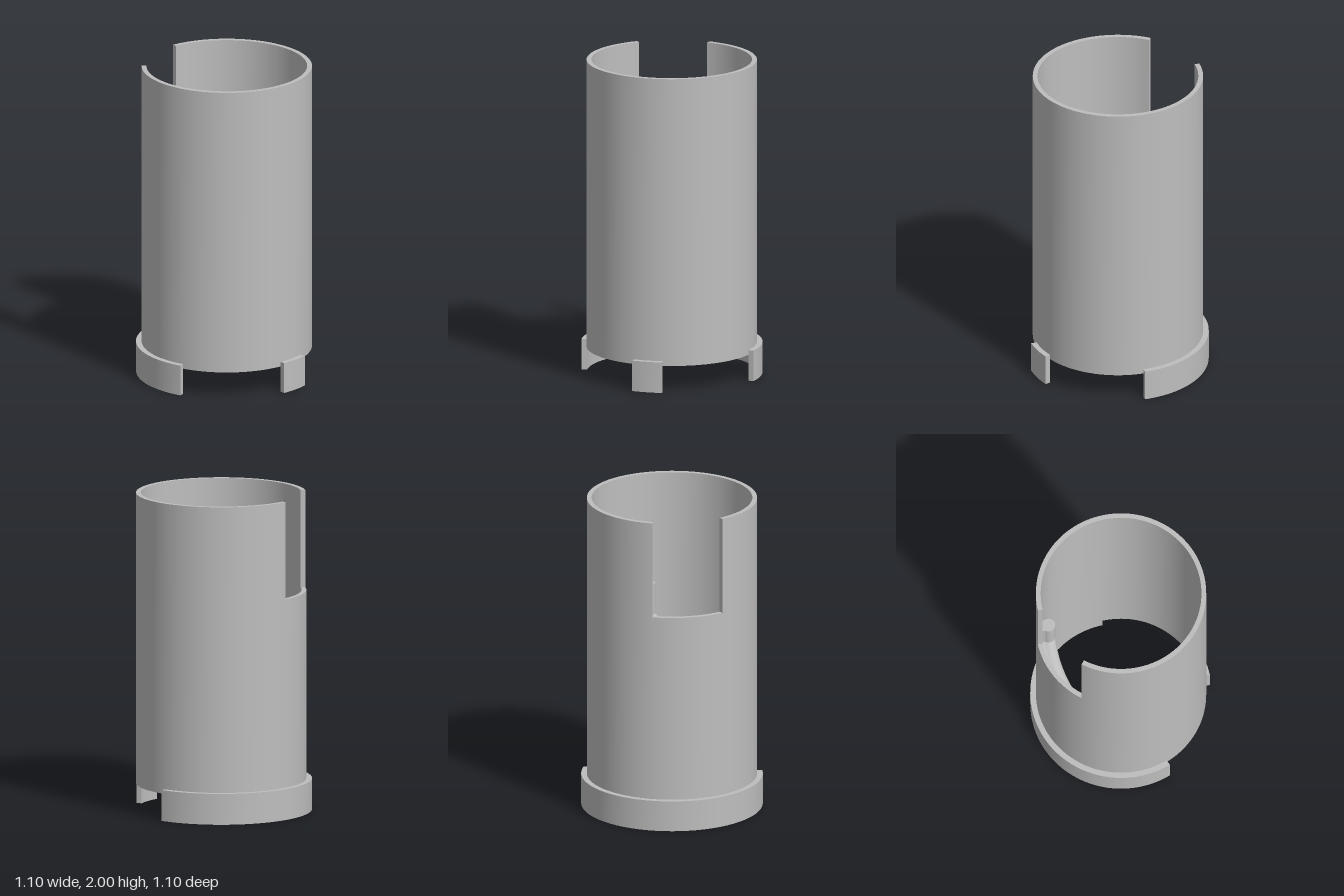
import * as THREE from 'three';
import { toCreasedNormals } from 'three/addons/utils/BufferGeometryUtils.js';

const RAD = Math.PI / 180;

// Smooth the curved walls while keeping edges sharp (enlarged so close vertices stay distinct)
function crease(geometry) {
  geometry.scale(50, 50, 50);
  const out = toCreasedNormals(geometry, 0.5);
  return out.scale(0.02, 0.02, 0.02);
}

// Ring made of sectors { from, to, y0, y1, endY }: angles in degrees from +x towards +z,
// endY is the height where the end walls start (omit for no end walls)
function ringGeometry(r0, r1, sectors) {
  const pos = [];
  const p = (r, a, y) => [r * Math.cos(a * RAD), y, r * Math.sin(a * RAD)];
  const quad = (a, b, c, d) => pos.push(...a, ...b, ...c, ...a, ...c, ...d);
  for (const { from, to, y0, y1, endY } of sectors) {
    const n = Math.round((to - from) / 2.5);
    for (let i = 0; i < n; i++) {
      const a = from + (i * (to - from)) / n;
      const b = from + ((i + 1) * (to - from)) / n;
      quad(p(r1, b, y0), p(r1, a, y0), p(r1, a, y1), p(r1, b, y1));
      quad(p(r0, a, y0), p(r0, b, y0), p(r0, b, y1), p(r0, a, y1));
      quad(p(r0, b, y1), p(r1, b, y1), p(r1, a, y1), p(r0, a, y1));
      quad(p(r0, a, y0), p(r1, a, y0), p(r1, b, y0), p(r0, b, y0));
    }
    if (endY === undefined) continue;
    quad(p(r1, from, endY), p(r0, from, endY), p(r0, from, y1), p(r1, from, y1));
    quad(p(r0, to, endY), p(r1, to, endY), p(r1, to, y1), p(r0, to, y1));
  }
  const g = new THREE.BufferGeometry();
  g.setAttribute('position', new THREE.Float32BufferAttribute(pos, 3));
  return crease(g);
}

// Round rail on a neck, twisting up the inner wall, then running straight up
function railGeometry(y0, bend, y1, a0, a1) {
  const r = 0.042, half = 0.034, centre = 0.455, wall = 0.505;
  const neck = Math.asin(half / r);
  const shape = new THREE.Shape();
  shape.moveTo(wall, -half);
  shape.lineTo(wall, half);
  shape.absarc(centre, 0, r, neck, 2 * Math.PI - neck, false);
  const g = new THREE.ExtrudeGeometry(shape, {
    depth: y1 - y0, steps: 71, bevelEnabled: false, curveSegments: 14,
  });
  const pos = g.attributes.position;
  for (let i = 0; i < pos.count; i++) {
    const u = pos.getX(i), v = pos.getY(i), h = pos.getZ(i);
    const a = (a0 + (a1 - a0) * Math.min(1, h / (bend - y0))) * RAD;
    pos.setXYZ(i, u * Math.cos(a) + v * Math.sin(a), y0 + h, u * Math.sin(a) - v * Math.cos(a));
  }
  return crease(g);
}

export function createModel() {
  const model = new THREE.Group();
  model.name = 'slottedSleeve';
  const grey = new THREE.MeshStandardMaterial({ color: 0xbebebe });
  grey.name = 'grey';

  const add = (name, geometry) => {
    const mesh = new THREE.Mesh(geometry, grey);
    mesh.name = name;
    mesh.position.set(0.0175, 0, 0.0175);
    model.add(mesh);
  };

  // Tube with a rectangular notch cut down from its rim
  add('tube', ringGeometry(0.5, 0.53, [
    { from: 185, to: 235, y0: 0.165, y1: 1.385 },
    { from: 235, to: 545, y0: 0.165, y1: 2, endY: 1.385 },
  ]));

  // Skirt segments around the foot
  add('longSkirt', ringGeometry(0.53, 0.565, [{ from: 125, to: 325, y0: 0, y1: 0.195, endY: 0 }]));
  add('shortSkirt', ringGeometry(0.53, 0.565, [{ from: 35, to: 55, y0: 0, y1: 0.195, endY: 0 }]));

  // Spiral guide on the inner wall
  add('spiralRail', railGeometry(0.165, 1.385, 1.585, 110, 240));

  return model;
}
